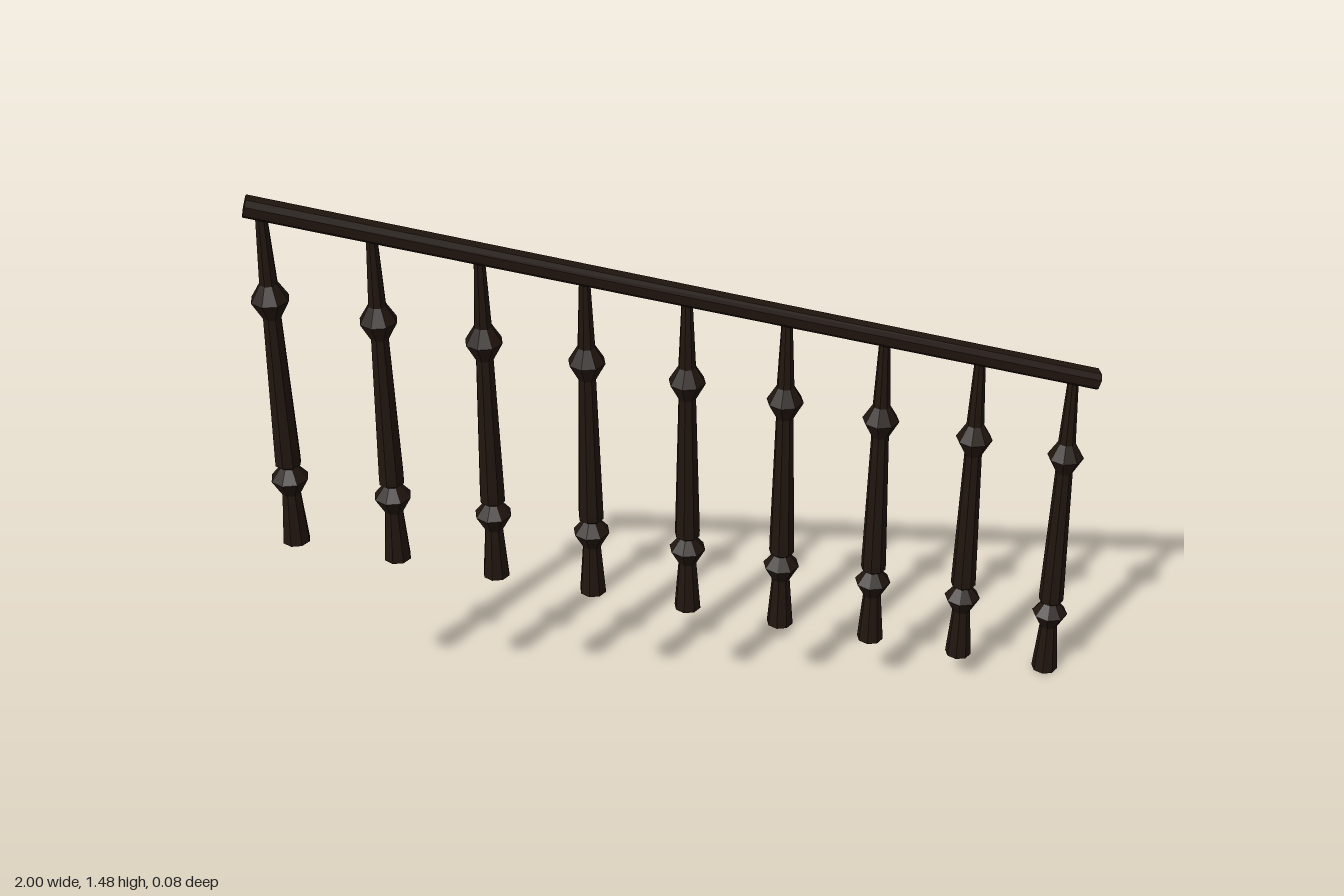
import * as THREE from 'three';

export function createModel() {
  const model = new THREE.Group();
  model.name = 'stairRailing';
  const wood = new THREE.MeshStandardMaterial({ color: 0x21160f, flatShading: true });

  // Turned baluster profile: distance to the flat sides, height
  const SIDES = 8;
  const profile = [
    [0, 0], [0.031, 0], [0.021, 0.135], [0.042, 0.177], [0.019, 0.208],
    [0.029, 0.216], [0.029, 0.235], [0.02, 0.605], [0.042, 0.65],
    [0.02, 0.69], [0.012, 0.873], [0, 0.873],
  ].map(([r, y]) => new THREE.Vector2(r / Math.cos(Math.PI / SIDES), y));
  const balusterGeometry = new THREE.LatheGeometry(profile, SIDES);
  balusterGeometry.rotateY(Math.PI / SIDES);

  // Nine balusters stepping down toward +x
  const COUNT = 9;
  for (let i = 0; i < COUNT; i++) {
    const t = i / (COUNT - 1);
    const baluster = new THREE.Mesh(balusterGeometry, wood);
    baluster.name = `baluster${i + 1}`;
    baluster.position.set(-0.96 + 1.894 * t, 0.572 * (1 - t), 0);
    model.add(baluster);
  }

  // Handrail section with a chamfered top, swept along the slope
  const section = new THREE.Shape([
    [-0.021, -0.02], [0.021, -0.02], [0.028, -0.013], [0.028, 0.008],
    [0.015, 0.02], [-0.015, 0.02], [-0.028, 0.008], [-0.028, -0.013],
  ].map(([x, y]) => new THREE.Vector2(x, y)));
  const start = new THREE.Vector2(-0.994, 1.456);
  const end = new THREE.Vector2(0.994, 0.867);
  const length = start.distanceTo(end);
  const railGeometry = new THREE.ExtrudeGeometry(section, { depth: length, bevelEnabled: false });
  railGeometry.translate(0, 0, -length / 2);
  railGeometry.rotateY(Math.PI / 2);
  const handrail = new THREE.Mesh(railGeometry, wood);
  handrail.name = 'handrail';
  handrail.position.set(0, (start.y + end.y) / 2, 0);
  handrail.rotation.z = Math.atan2(end.y - start.y, end.x - start.x);
  model.add(handrail);

  return model;
}
